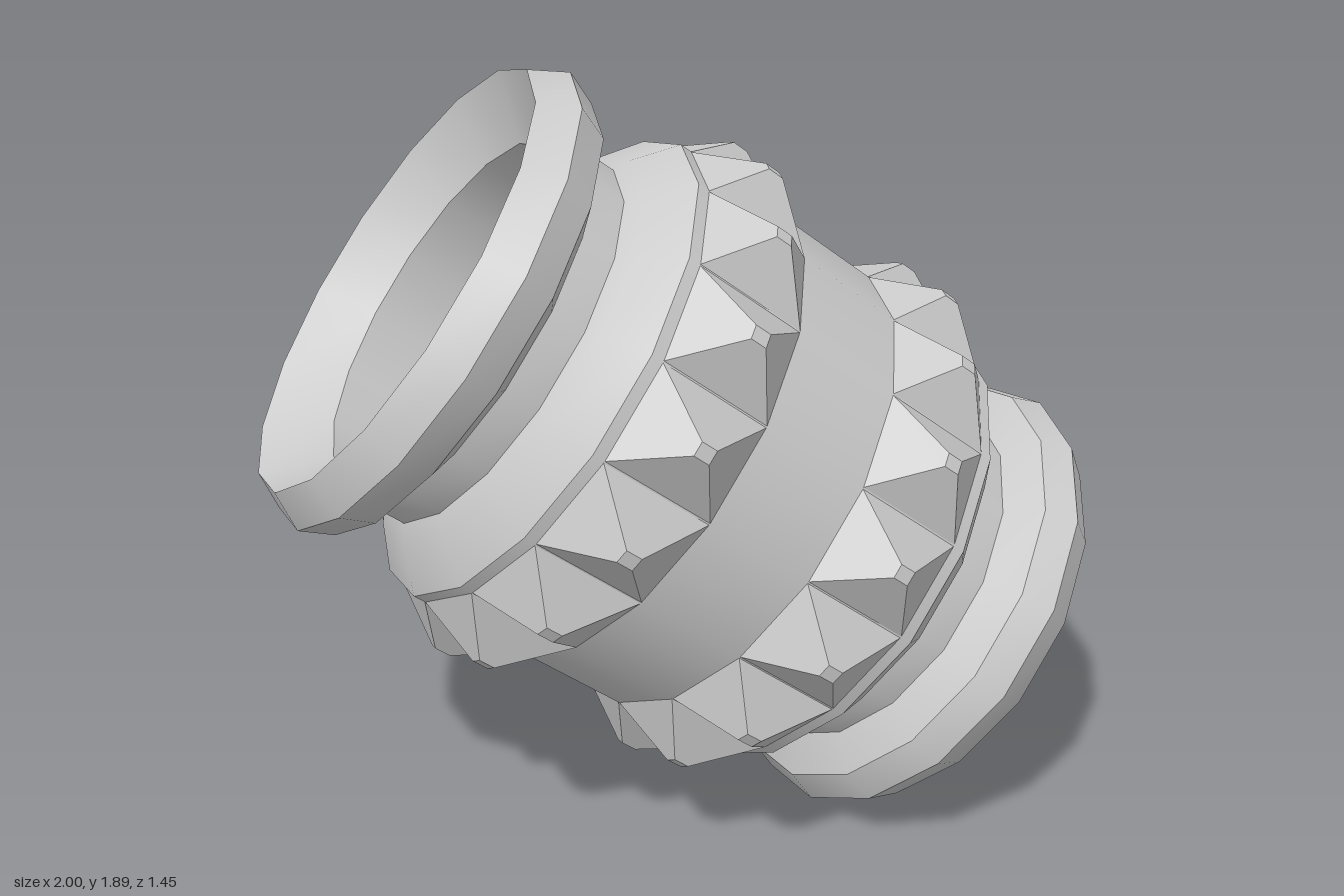
import * as THREE from 'three';
import { toCreasedNormals } from 'three/addons/utils/BufferGeometryUtils.js';

const SIDES = 16;
const STEP = (Math.PI * 2) / SIDES;
const PHASE = THREE.MathUtils.degToRad(5.75);
const BODY_R = 0.61;

export function createModel() {
  const model = new THREE.Group();
  model.name = 'studdedSleeve';
  const smooth = new THREE.MeshStandardMaterial({ color: 0xcccccc });
  const faceted = new THREE.MeshStandardMaterial({ color: 0xcccccc, flatShading: true });

  // Tilted assembly: local y is the axis of the sleeve
  const sleeve = new THREE.Group();
  sleeve.name = 'sleeve';
  const axis = new THREE.Vector3(1.34, -0.99, 0.18).normalize();
  const up = new THREE.Vector3(0.594, 0.804, 0);
  up.addScaledVector(axis, -up.dot(axis)).normalize();
  const side = new THREE.Vector3().crossVectors(up, axis);
  sleeve.quaternion.setFromRotationMatrix(new THREE.Matrix4().makeBasis(up, axis, side));
  sleeve.position.y = 0.945;
  model.add(sleeve);

  // Half of the outer outline, from the middle to the lip: [radius, height]
  const half = [
    [BODY_R, 0.45], [0.515, 0.53], [0.475, 0.55], [0.475, 0.635],
    [0.57, 0.68], [0.6, 0.76], [0.55, 0.845],
  ];
  const bore = [[0.43, 0.72], [0.43, -0.72]];
  const outline = [
    ...half.slice().reverse().map(([r, h]) => [r, -h]),
    ...half,
    ...bore,
    [0.55, -0.845],
  ].map(([r, h]) => new THREE.Vector2(r, h));

  // Hollow body with necks, lips and flared openings
  const bodyGeo = new THREE.LatheGeometry(outline, SIDES, PHASE);
  const body = new THREE.Mesh(toCreasedNormals(bodyGeo, 0.45), smooth);
  body.name = 'body';
  sleeve.add(body);

  // Blunt pyramid stud sitting on one flat of the body, pointing along +z
  const width = 2 * BODY_R * Math.sin(STEP / 2);
  const seat = BODY_R * Math.cos(STEP / 2);
  const height = 0.1;
  const studGeo = new THREE.CylinderGeometry(0.1, Math.SQRT1_2, height, 4);
  studGeo.rotateY(Math.PI / 4);
  studGeo.rotateX(Math.PI / 2);
  studGeo.scale(width, 0.285, 1);
  studGeo.translate(0, 0, seat + height / 2 - 0.002);

  // Two rings of studs
  for (const h of [-0.28, 0.28]) {
    const ring = new THREE.Group();
    ring.name = h < 0 ? 'upperStudRing' : 'lowerStudRing';
    ring.position.y = h;
    for (let i = 0; i < SIDES; i++) {
      const stud = new THREE.Mesh(studGeo, faceted);
      stud.name = 'stud';
      stud.rotation.y = PHASE + (i + 0.5) * STEP;
      ring.add(stud);
    }
    sleeve.add(ring);
  }
  return model;
}
